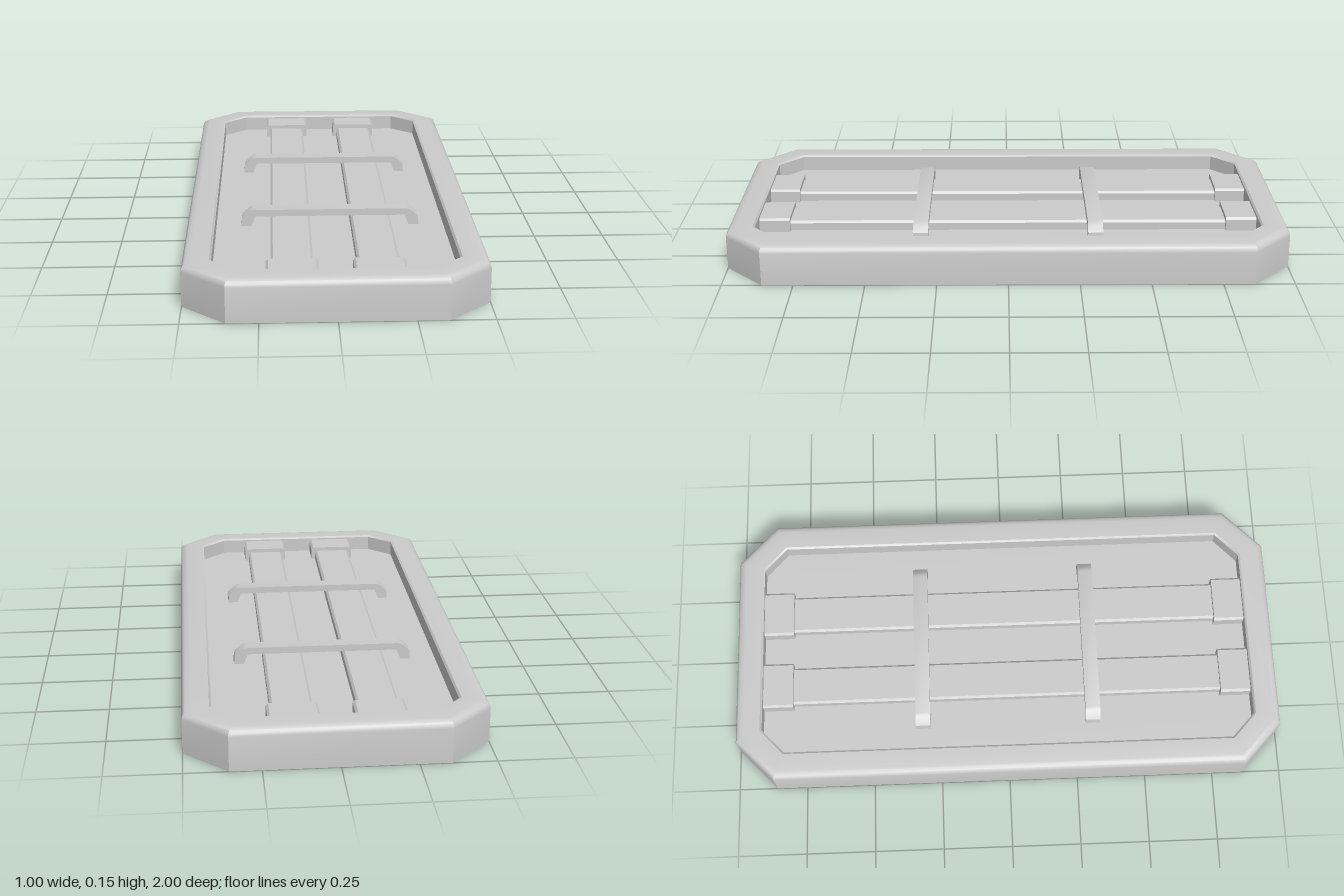
import * as THREE from 'three';
import { toCreasedNormals } from 'three/addons/utils/BufferGeometryUtils.js';

const grey = new THREE.MeshStandardMaterial({ color: 0xcccccc, side: THREE.DoubleSide });
const FLOOR = 0.085;

// Corners of the chamfered rectangle, moved inward by d
function outline(d) {
  const x = 0.5 - d, z = 1 - d, t = d * Math.tan(Math.PI / 8);
  const cx = 0.355 - t, cz = 0.86 - t;
  return [[x, cz], [x, -cz], [cx, -z], [-cx, -z], [-x, -cz], [-x, cz], [-cx, z], [cx, z]];
}

// Hollow shell lofted through [inset, height] rings
function loft(rings) {
  const pos = [], idx = [], n = 8;
  for (const [d, y] of rings) for (const [x, z] of outline(d)) pos.push(x, y, z);
  for (let r = 0; r < rings.length - 1; r++) {
    for (let i = 0; i < n; i++) {
      const a = r * n + i, b = r * n + (i + 1) % n;
      idx.push(a, b, b + n, a, b + n, a + n);
    }
  }
  const g = new THREE.BufferGeometry();
  g.setAttribute('position', new THREE.Float32BufferAttribute(pos, 3));
  g.setIndex(idx);
  return toCreasedNormals(g, 0.6);
}

function polygon(points) {
  return new THREE.Shape(points.map(([x, y]) => new THREE.Vector2(x, y)));
}

// Profile in x and y, extruded along z about its centre
function extrudeZ(points, length) {
  const g = new THREE.ExtrudeGeometry(polygon(points), { depth: length, bevelEnabled: false });
  g.translate(0, 0, -length / 2);
  return toCreasedNormals(g, 0.6);
}

// Bar profile with chamfered upper edges
function barProfile(w, top, c) {
  const h = w / 2;
  return [[-h, FLOOR], [h, FLOOR], [h, top - c], [h - c, top], [-h + c, top], [-h, top - c]];
}

export function createModel() {
  const model = new THREE.Group();
  const add = (name, geometry, x = 0, y = 0, z = 0) => {
    const mesh = new THREE.Mesh(geometry, grey);
    mesh.name = name;
    mesh.position.set(x, y, z);
    model.add(mesh);
    return mesh;
  };

  // Frame, open underneath, with a rounded outer top edge
  const rings = [[0, 0]];
  for (let i = 0; i <= 4; i++) {
    const a = (i / 4) * Math.PI / 2;
    rings.push([0.028 * (1 - Math.cos(a)), 0.12 + 0.026 * Math.sin(a)]);
  }
  rings.push([0.09, 0.146], [0.097, 0.14], [0.097, FLOOR]);
  add('frame', loft(rings));

  // Recessed panel
  const panel = new THREE.ShapeGeometry(polygon(outline(0.097).map(([x, z]) => [x, -z])));
  panel.rotateX(-Math.PI / 2);
  add('panel', panel, 0, FLOOR, 0);

  // Two long slats with a cap at each end
  const slat = extrudeZ(barProfile(0.14, 0.12, 0.008), 1.79);
  const cap = extrudeZ(barProfile(0.17, 0.135, 0.008), 0.11);
  for (const side of [1, -1]) {
    add('slat', slat, side * 0.142);
    for (const end of [1, -1]) add('slatCap', cap, side * 0.142, 0, end * 0.846);
  }

  // Two cross straps bridging the slats, standing on sloped feet
  const strap = extrudeZ([
    [-0.315, FLOOR], [-0.28, FLOOR], [-0.265, 0.121], [0.265, 0.121], [0.28, FLOOR], [0.315, FLOOR],
    [0.312, 0.115], [0.285, 0.14], [0.27, 0.145], [-0.27, 0.145], [-0.285, 0.14], [-0.312, 0.115],
  ], 0.054);
  for (const end of [1, -1]) add('crossStrap', strap, 0, 0, end * 0.313);

  return model;
}
